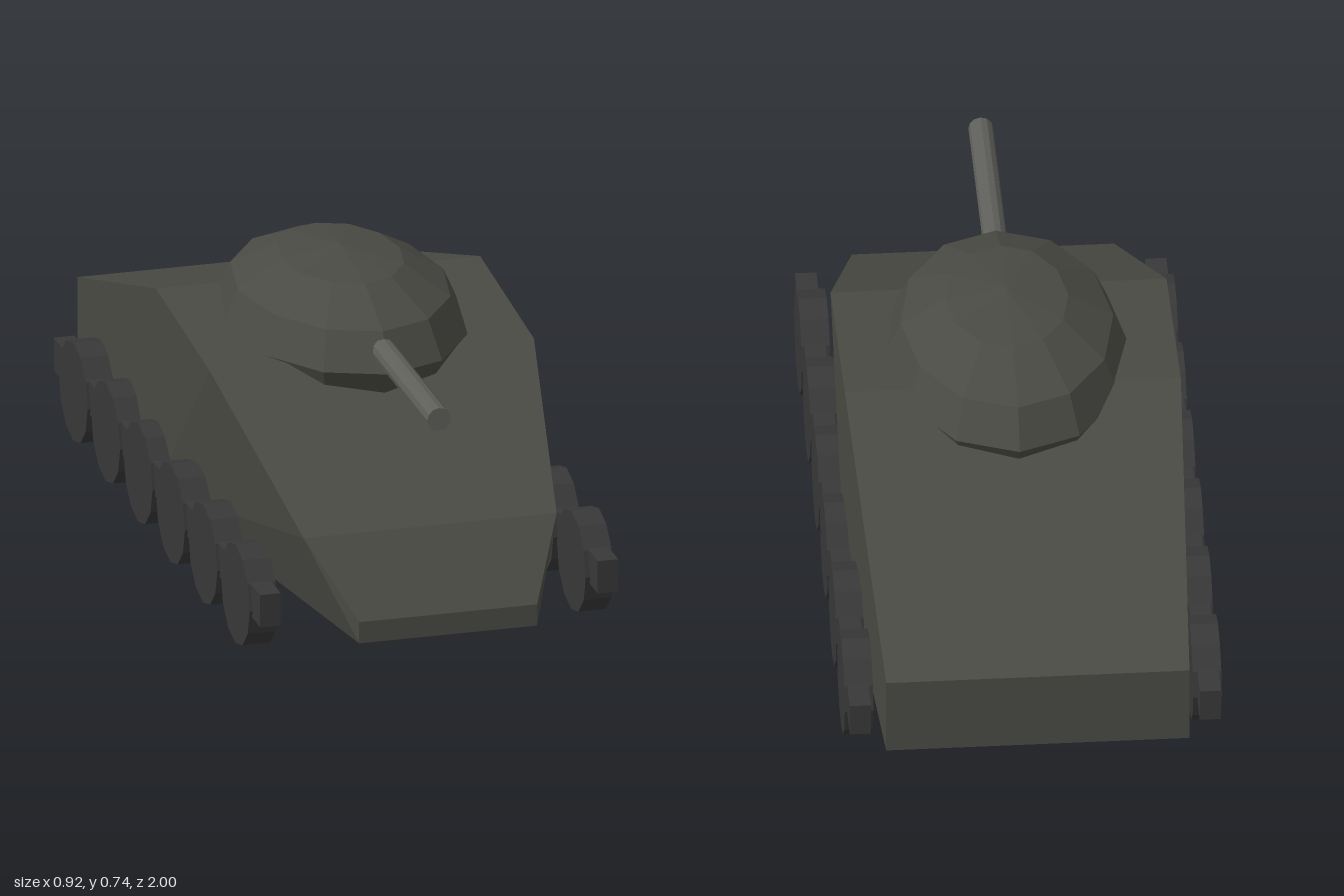
import * as THREE from 'three';

const paint = (color) => new THREE.MeshStandardMaterial({ color, flatShading: true });

// Hull outline as [half width, y, z], running over the top to the rear and back underneath
const OUTLINE = [
  [0.225, 0.13, 1], [0.32, 0.3, 0.84], [0.41, 0.555, 0.32], [0.41, 0.595, -0.16], [0.37, 0.315, -1],
  [0.37, 0.115, -1], [0.41, 0.075, -0.16], [0.225, 0.075, 1],
];
// Triangles of the left flank, as indices into the outline
const FLANK = [[7, 1, 0], [7, 6, 1], [1, 6, 2], [6, 3, 2], [6, 5, 4], [6, 4, 3]];

function hullGeometry() {
  const points = [];
  const left = (i) => OUTLINE[i];
  const right = (i) => [-OUTLINE[i][0], OUTLINE[i][1], OUTLINE[i][2]];
  // Plates spanning from side to side
  OUTLINE.forEach((_, i) => {
    const j = (i + 1) % OUTLINE.length;
    points.push(left(i), left(j), right(j), left(i), right(j), right(i));
  });
  // Flanks, mirrored with reversed corner order
  for (const [a, b, c] of FLANK) {
    points.push(left(a), left(b), left(c), right(a), right(c), right(b));
  }
  const geometry = new THREE.BufferGeometry();
  geometry.setAttribute('position', new THREE.Float32BufferAttribute(points.flat(), 3));
  geometry.computeVertexNormals();
  return geometry;
}

export function createModel() {
  const model = new THREE.Group();
  model.name = 'tank';
  const armour = paint(0x4a4a44);
  const steel = paint(0x5f5f5a);
  const running = paint(0x383838);

  const add = (parent, name, geometry, material, x, y, z) => {
    const mesh = new THREE.Mesh(geometry, material);
    mesh.name = name;
    mesh.position.set(x, y, z);
    parent.add(mesh);
    return mesh;
  };

  add(model, 'hull', hullGeometry(), armour, 0, 0, 0);

  // Flattened oval turret sunk into the hull
  const dome = new THREE.SphereGeometry(1, 12, 6).scale(0.3, 0.182, 0.435);
  add(model, 'turret', dome, armour, 0, 0.56, 0.04);

  // Gun barrel
  const barrel = new THREE.CylinderGeometry(0.03, 0.03, 0.62, 12).rotateX(Math.PI / 2);
  add(model, 'gunBarrel', barrel, steel, 0, 0.605, 0.61);

  // Running gear: a long beam and six road wheels on each side
  const beam = new THREE.BoxGeometry(0.052, 0.084, 1.84);
  const wheel = new THREE.CylinderGeometry(0.128, 0.128, 0.07, 12).rotateZ(Math.PI / 2);
  for (const side of [1, -1]) {
    const gear = new THREE.Group();
    gear.name = side > 0 ? 'leftRunningGear' : 'rightRunningGear';
    add(gear, 'axleBeam', beam, running, side * 0.427, 0.153, 0);
    for (let i = 0; i < 6; i++) {
      add(gear, 'roadWheel', wheel, running, side * 0.425, 0.128, 0.724 - i * 0.289);
    }
    model.add(gear);
  }
  return model;
}
